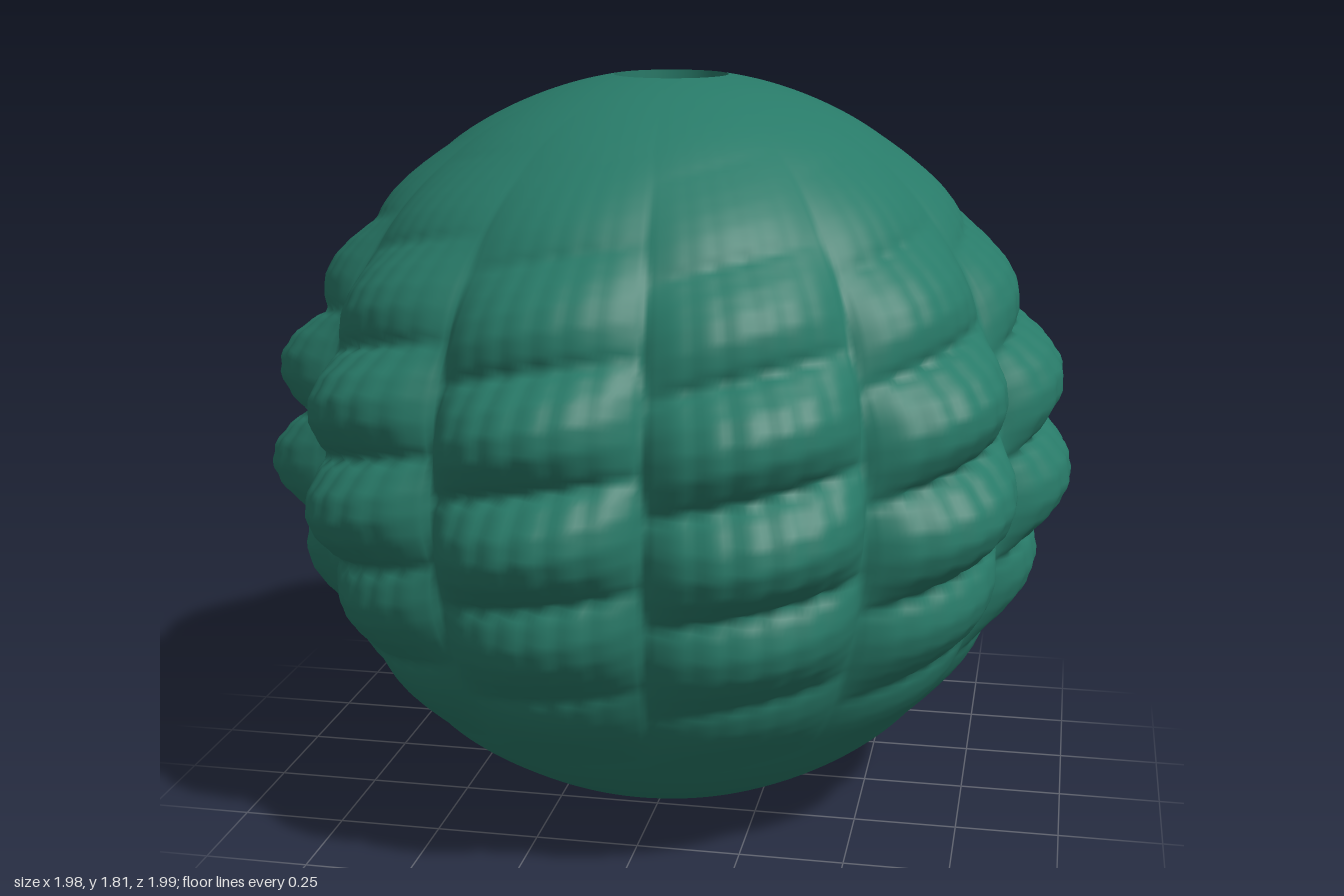
import * as THREE from 'three';

const LOBES = 11, CENTER_Y = 0.905, HOLE_R = 0.14, BASE_R = 0.915, OFFSET_X = -0.012;
const AROUND = LOBES * 42, RINGS = 150;
const D = Math.PI / 180;

// Radius of the bead by longitude and latitude (degrees): a sphere with pillowy lobes round its middle
function beadRadius(lon, lat) {
  const band = Math.exp(-(((lat - 3) / 28) ** 2));
  const phase = (((lon - 17.6) * LOBES / 360) % 1 + 1) % 1 - 0.5; // -0.5..0.5 inside one lobe
  const row = (lat - 5 + 6 * phase) / 16.4;                        // rows slant inside each lobe
  const across = Math.abs(Math.cos(Math.PI * phase)) ** 0.6;
  const along = Math.abs(Math.sin(Math.PI * row)) ** 0.8;
  const lobe = across * (0.2 + 0.8 * along);
  // fine ribbing in both directions
  const ribs = Math.abs(Math.sin(Math.PI * 7 * phase)) * 0.008 + Math.abs(Math.sin(Math.PI * 5 * row)) * 0.006;
  return BASE_R + band * (-0.045 + 0.125 * lobe + ribs * across);
}

// Closed ring grid from the lower hole rim to the upper one
function beadGeometry() {
  const positions = [], indices = [];
  const maxLat = Math.acos(HOLE_R / BASE_R) / D;
  for (let j = 0; j <= RINGS; j++) {
    const lat = -maxLat + 2 * maxLat * j / RINGS;
    for (let i = 0; i < AROUND; i++) {
      const lon = 360 * i / AROUND;
      const r = beadRadius(lon, lat);
      const flat = r * Math.cos(lat * D);
      positions.push(flat * Math.cos(lon * D), r * Math.sin(lat * D), flat * Math.sin(lon * D));
      if (j === RINGS) continue;
      const a = j * AROUND + i, b = j * AROUND + (i + 1) % AROUND;
      indices.push(a, a + AROUND, b, b, a + AROUND, b + AROUND);
    }
  }
  const geometry = new THREE.BufferGeometry();
  geometry.setAttribute('position', new THREE.Float32BufferAttribute(positions, 3));
  geometry.setIndex(indices);
  geometry.computeVertexNormals();
  return geometry;
}

export function createModel() {
  const group = new THREE.Group();
  group.name = 'carvedBead';
  const green = new THREE.MeshStandardMaterial({ color: 0x287a68 });
  green.name = 'deep green';

  const body = new THREE.Mesh(beadGeometry(), green);
  body.name = 'lobedBody';

  // Wall of the stringing hole, facing inwards
  const height = 2 * Math.sqrt(BASE_R ** 2 - HOLE_R ** 2);
  const wall = new THREE.CylinderGeometry(HOLE_R, HOLE_R, height, 64, 1, true);
  wall.scale(-1, 1, 1);
  wall.setIndex(Array.from(wall.index.array));
  const hole = new THREE.Mesh(wall, green);
  hole.name = 'holeWall';
  // The mirrored scale flips the winding; the normals are turned to match
  const normals = wall.attributes.normal;
  for (let i = 0; i < normals.count; i++) {
    const p = wall.attributes.position;
    normals.setXYZ(i, -p.getX(i) / HOLE_R, 0, -p.getZ(i) / HOLE_R);
  }

  group.add(body, hole);
  group.position.set(OFFSET_X, CENTER_Y, 0);
  return group;
}
